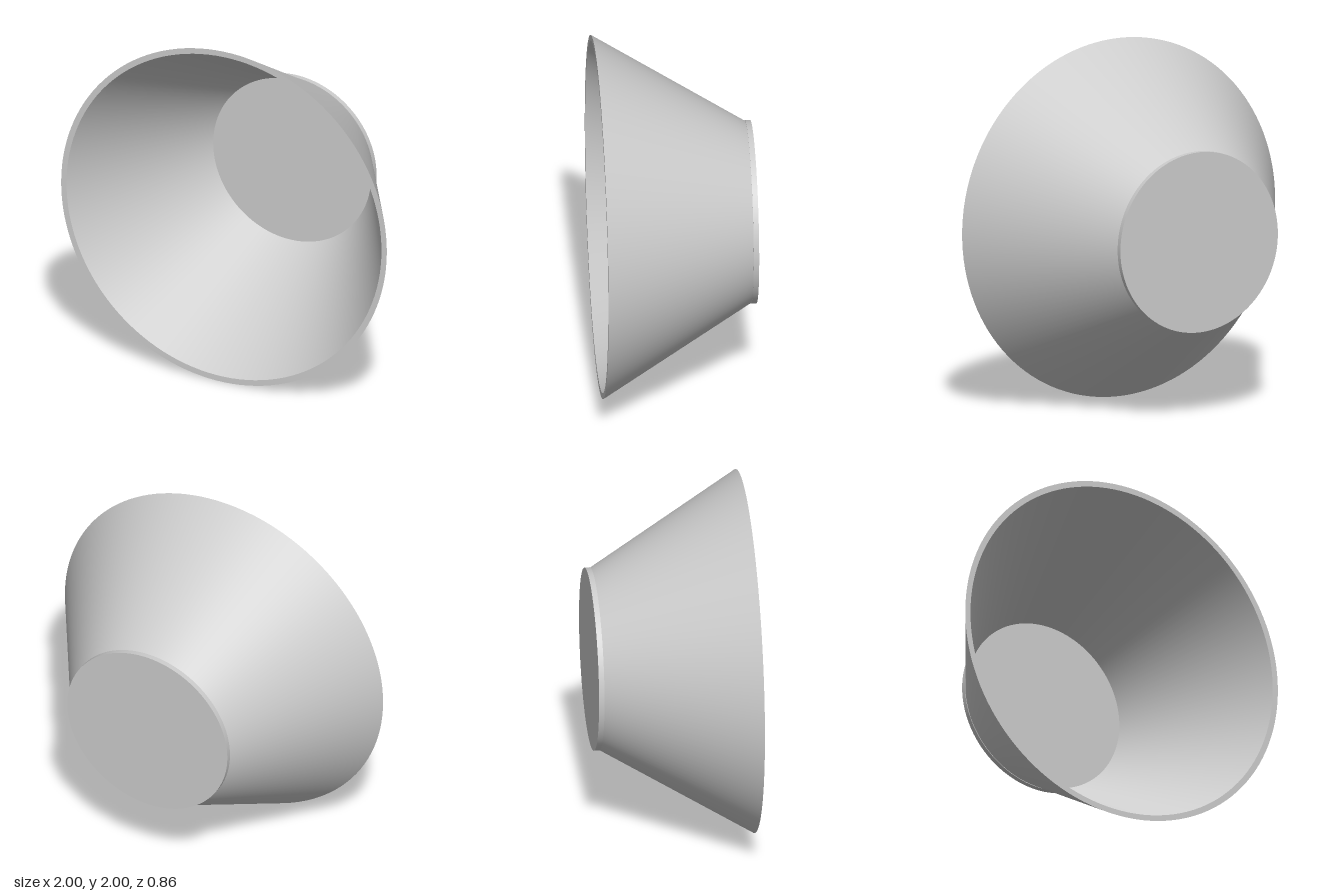
import * as THREE from 'three';
import { mergeGeometries } from 'three/addons/utils/BufferGeometryUtils.js';

const SEGMENTS = 128;
const FRONT = 0.43, SEAM = -0.4, BACK = -0.43;

// Revolves a [radius, z] profile about the z axis, one lathe per span so corners stay crisp
function revolve(name, profile, material) {
  const spans = [];
  for (let i = 0; i < profile.length - 1; i++) {
    const points = [profile[i], profile[i + 1]].map(([r, z]) => new THREE.Vector2(r, z));
    spans.push(new THREE.LatheGeometry(points, SEGMENTS));
  }
  const geometry = mergeGeometries(spans);
  geometry.rotateX(Math.PI / 2);
  const mesh = new THREE.Mesh(geometry, material);
  mesh.name = name;
  return mesh;
}

export function createModel() {
  const group = new THREE.Group();
  group.name = 'flaredBowl';
  const material = new THREE.MeshStandardMaterial({ color: 0xcccccc });

  // Flared wall: outside, flat rim, inside
  group.add(revolve('flaredWall', [
    [0.5, SEAM], [1, FRONT], [0.967, FRONT], [0.485, SEAM],
  ], material));

  // Round base plate: back face, short edge, inner floor
  group.add(revolve('basePlate', [
    [0, BACK], [0.503, BACK], [0.503, SEAM], [0, SEAM],
  ], material));

  group.position.y = 1;
  const model = new THREE.Group();
  model.add(group);
  return model;
}
